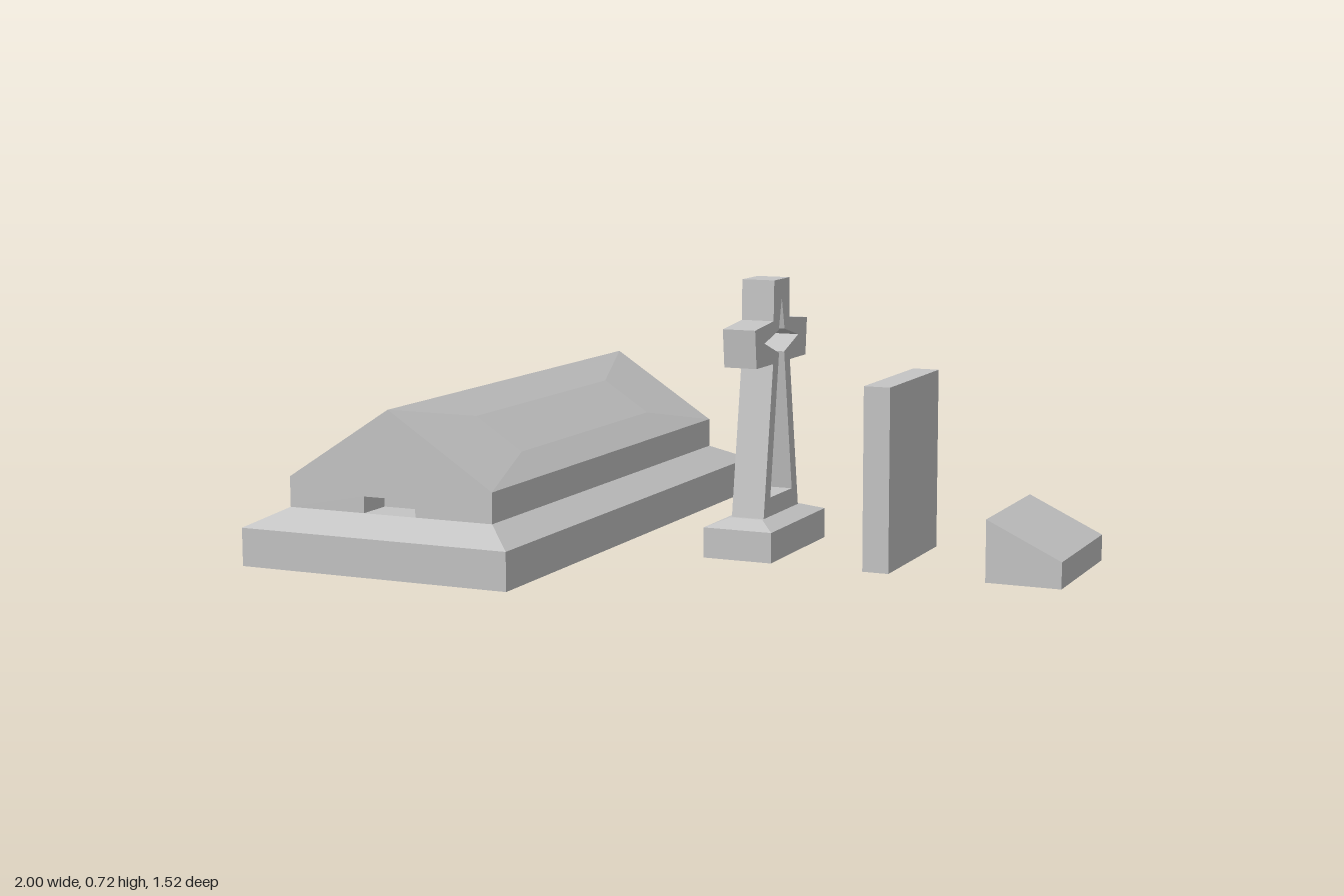
import * as THREE from 'three';

const stone = new THREE.MeshStandardMaterial({ color: 0xc4c4c4, flatShading: true });
stone.name = 'grey stone';

function add(group, name, geometry, x = 0, y = 0, z = 0) {
  const mesh = new THREE.Mesh(geometry, stone);
  mesh.name = name;
  mesh.position.set(x, y, z);
  group.add(mesh);
  return mesh;
}

// Block standing on y = 0 whose top shrinks to topW x topD
function block(w, h, d, topW = w, topD = d) {
  const g = new THREE.BoxGeometry(w, h, d).translate(0, h / 2, 0);
  const p = g.attributes.position;
  for (let i = 0; i < p.count; i++) {
    if (p.getY(i) > h / 2) p.setXYZ(i, p.getX(i) * topW / w, h, p.getZ(i) * topD / d);
  }
  g.computeVertexNormals();
  return g;
}

function outline(points, Type = THREE.Shape) {
  return new Type(points.map(([x, y]) => new THREE.Vector2(x, y)));
}

function extrude(shape, depth) {
  return new THREE.ExtrudeGeometry(shape, { depth, bevelEnabled: false });
}

// One roof slope with a slightly raised inner panel; side is -1 or 1
function roofSlope(side, halfLength) {
  const point = (t, z, lift) =>
    [side * (0.295 * t + lift * 0.54), 0.415 - 0.19 * t + lift * 0.84, z];
  const ring = (t0, t1, z, lift) =>
    [point(t0, z, lift), point(t1, z, lift), point(t1, -z, lift), point(t0, -z, lift)];
  const vertices = [...ring(0, 1, halfLength, 0), ...ring(0.3, 0.75, 0.38, 0.009)];
  const index = [];
  const face = (a, b, c) => index.push(...(side > 0 ? [a, b, c] : [a, c, b]));
  // Winding is set for the +x slope and flipped for the other
  for (let i = 0; i < 4; i++) {
    const j = (i + 1) % 4;
    face(i, j, j + 4);
    face(i, j + 4, i + 4);
  }
  face(4, 5, 6);
  face(4, 6, 7);
  const g = new THREE.BufferGeometry();
  g.setAttribute('position', new THREE.Float32BufferAttribute(vertices.flat(), 3));
  g.setIndex(index);
  const flat = g.toNonIndexed();
  flat.computeVertexNormals();
  return flat;
}

function createTomb() {
  const tomb = new THREE.Group();
  tomb.name = 'gabledTomb';
  tomb.position.x = -0.617;
  add(tomb, 'tombBase', block(0.765, 0.1, 1.52));
  add(tomb, 'tombBaseBevel', block(0.765, 0.045, 1.52, 0.59, 1.335), 0, 0.1, 0);

  // House-shaped body with a shallow opening at each end
  const gable = [[0.295, 0.145], [0.295, 0.225], [0, 0.415], [-0.295, 0.225], [-0.295, 0.145]];
  const notch = [[-0.075, 0.145], [-0.075, 0.188], [0.075, 0.188], [0.075, 0.145]];
  const half = 0.667, recess = 0.1;
  add(tomb, 'tombBody', extrude(outline(gable), 2 * (half - recess)), 0, 0, recess - half);
  const end = extrude(outline([...gable, ...notch]), recess);
  add(tomb, 'tombFrontEnd', end, 0, 0, half - recess);
  add(tomb, 'tombBackEnd', end, 0, 0, -half);
  for (const side of [-1, 1]) {
    add(tomb, side > 0 ? 'leftRoofSlope' : 'rightRoofSlope', roofSlope(side, half));
  }
  return tomb;
}

function createCross() {
  const cross = new THREE.Group();
  cross.name = 'crossMonument';
  cross.position.x = 0.135;
  add(cross, 'crossPlinth', block(0.19, 0.08, 0.38));
  add(cross, 'crossPlinthBevel', block(0.19, 0.02, 0.38, 0.09, 0.26), 0, 0.08, 0);

  // Pierced cross: splayed stem, flared arms, star opening running into a tall slot
  const mirror = (pts) => [...pts, ...pts.map(([x, y]) => [-x, y]).reverse()];
  const shape = outline(mirror([
    [0.12, 0.1], [0.058, 0.5], [0.17, 0.5], [0.18, 0.6], [0.056, 0.612], [0.052, 0.718],
  ]));
  shape.holes.push(outline(mirror([
    [0.075, 0.15], [0.018, 0.525], [0.117, 0.56], [0.02, 0.585], [0.001, 0.665],
  ]), THREE.Path));
  const mesh = add(cross, 'piercedCross', extrude(shape, 0.09), 0.045, 0, 0);
  mesh.rotation.y = -Math.PI / 2;
  return cross;
}

export function createModel() {
  const model = new THREE.Group();
  model.name = 'gravestones';
  model.add(createTomb(), createCross());

  // Plain upright slab
  add(model, 'uprightSlab', block(0.07, 0.475, 0.38), 0.515, 0, 0);

  // Low marker with a slanted face
  const wedge = outline([[0.805, 0], [1, 0], [1, 0.068], [0.805, 0.16]]);
  add(model, 'slantedMarker', extrude(wedge, 0.38), 0, 0, -0.19);
  return model;
}
